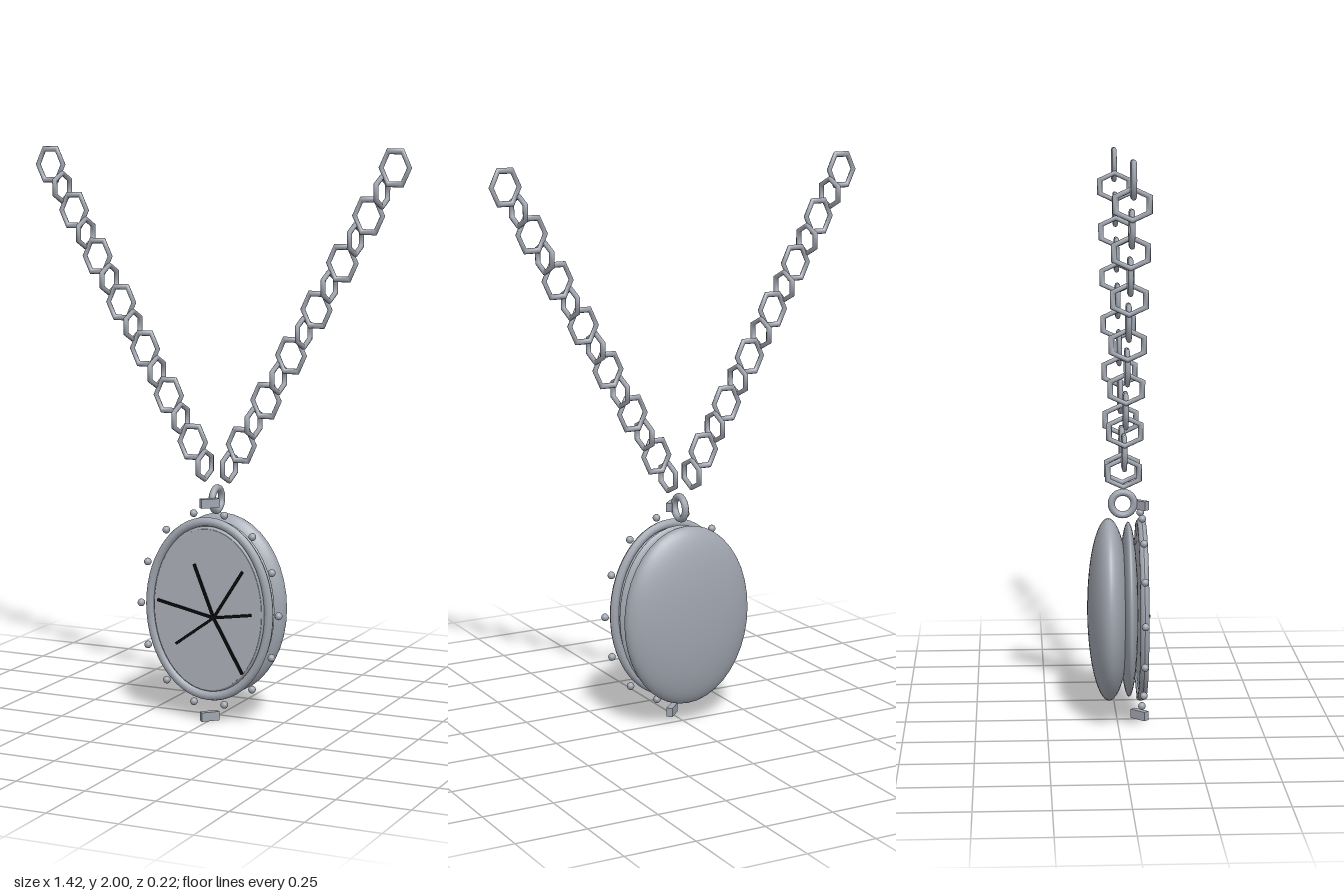
import * as THREE from 'three';

const mat = (name, color) => new THREE.MeshStandardMaterial({ name, color });

export function createModel() {
  const silver = mat('silver', 0xa0a5af);
  const glass = mat('clouded glass', 0xa9adb6);
  const black = mat('crack black', 0x0c0c0e);
  const root = new THREE.Group();
  root.name = 'locketNecklace';

  const add = (parent, name, geo, material, x, y, z) => {
    const m = new THREE.Mesh(geo, material);
    m.name = name;
    m.position.set(x, y, z);
    parent.add(m);
    return m;
  };

  // oval locket, centred on its face
  const locket = new THREE.Group();
  locket.name = 'locket';
  locket.position.y = 0.4;
  root.add(locket);

  const shell = (name, rx, ry, rz, z) =>
    add(locket, name, new THREE.SphereGeometry(1, 40, 28).rotateX(Math.PI / 2).scale(rx, ry, rz), silver, 0, 0, z);
  shell('backShell', 0.245, 0.325, 0.075, -0.03);
  shell('frontShell', 0.23, 0.312, 0.033, 0.04);

  // oval ring with a tube of even thickness
  const ovalRing = (name, rx, ry, tube, z) => {
    const geo = new THREE.TorusGeometry(1, tube, 10, 56);
    const p = geo.attributes.position;
    for (let i = 0; i < p.count; i++) {
      const a = Math.atan2(p.getY(i), p.getX(i));
      const d = Math.hypot(p.getX(i), p.getY(i)) - 1;
      p.setXY(i, (rx + d) * Math.cos(a), (ry + d) * Math.sin(a));
    }
    geo.computeVertexNormals();
    add(locket, name, geo, silver, 0, 0, z);
  };
  ovalRing('rim', 0.228, 0.31, 0.016, 0.085);
  ovalRing('innerBezel', 0.203, 0.283, 0.011, 0.085);
  add(locket, 'glassFace',
    new THREE.CylinderGeometry(1, 1, 1, 56).rotateX(Math.PI / 2).scale(0.206, 0.286, 0.024), glass, 0, 0, 0.086);

  // cracks spreading from one point on the glass
  const hub = [0.025, -0.025];
  const tips = [[-0.05, 0.16], [0.135, 0.147], [0.168, -0.003], [0.135, -0.215], [-0.12, -0.13], [-0.192, 0.02]];
  for (const [tx, ty] of tips) {
    const dx = tx - hub[0], dy = ty - hub[1];
    const crack = add(locket, 'crack', new THREE.BoxGeometry(Math.hypot(dx, dy), 0.009, 0.008), black,
      hub[0] + dx / 2, hub[1] + dy / 2, 0.102);
    crack.rotation.z = Math.atan2(dy, dx);
  }

  // beads round the rim
  const beadGeo = new THREE.SphereGeometry(0.0135, 12, 8);
  for (let i = 0; i < 14; i++) {
    const a = (i / 14) * Math.PI * 2;
    add(locket, 'rimBead', beadGeo, silver, 0.265 * Math.cos(a), 0.345 * Math.sin(a), 0.085);
  }

  // diagonal clasp plates above and below the rim
  for (const y of [0.775, 0.016]) {
    const plate = add(root, 'claspPlate', new THREE.BoxGeometry(0.066, 0.032, 0.022), silver, 0, y, 0.08);
    plate.rotation.y = Math.PI / 4;
  }

  // hanging ring
  add(root, 'bail', new THREE.TorusGeometry(0.04, 0.0125, 10, 24).rotateY(Math.PI / 2), silver, 0, 0.78, 0.02);

  // chain of six-sided links, alternately facing front and side
  const frontLink = new THREE.TorusGeometry(0.05, 0.009, 8, 6).scale(1, 1.25, 1);
  const sideLink = frontLink.clone().rotateZ(Math.PI / 2).rotateY(Math.PI / 2);
  for (const side of [-1, 1]) {
    const chain = new THREE.Group();
    chain.name = side > 0 ? 'leftChain' : 'rightChain';
    root.add(chain);
    for (let i = 0; i < 14; i++) {
      add(chain, 'chainLink', i % 2 ? frontLink : sideLink, silver,
        side * (0.047 + i * 0.0464), 0.897 + i * 0.0799, 0.02);
    }
  }
  return root;
}
